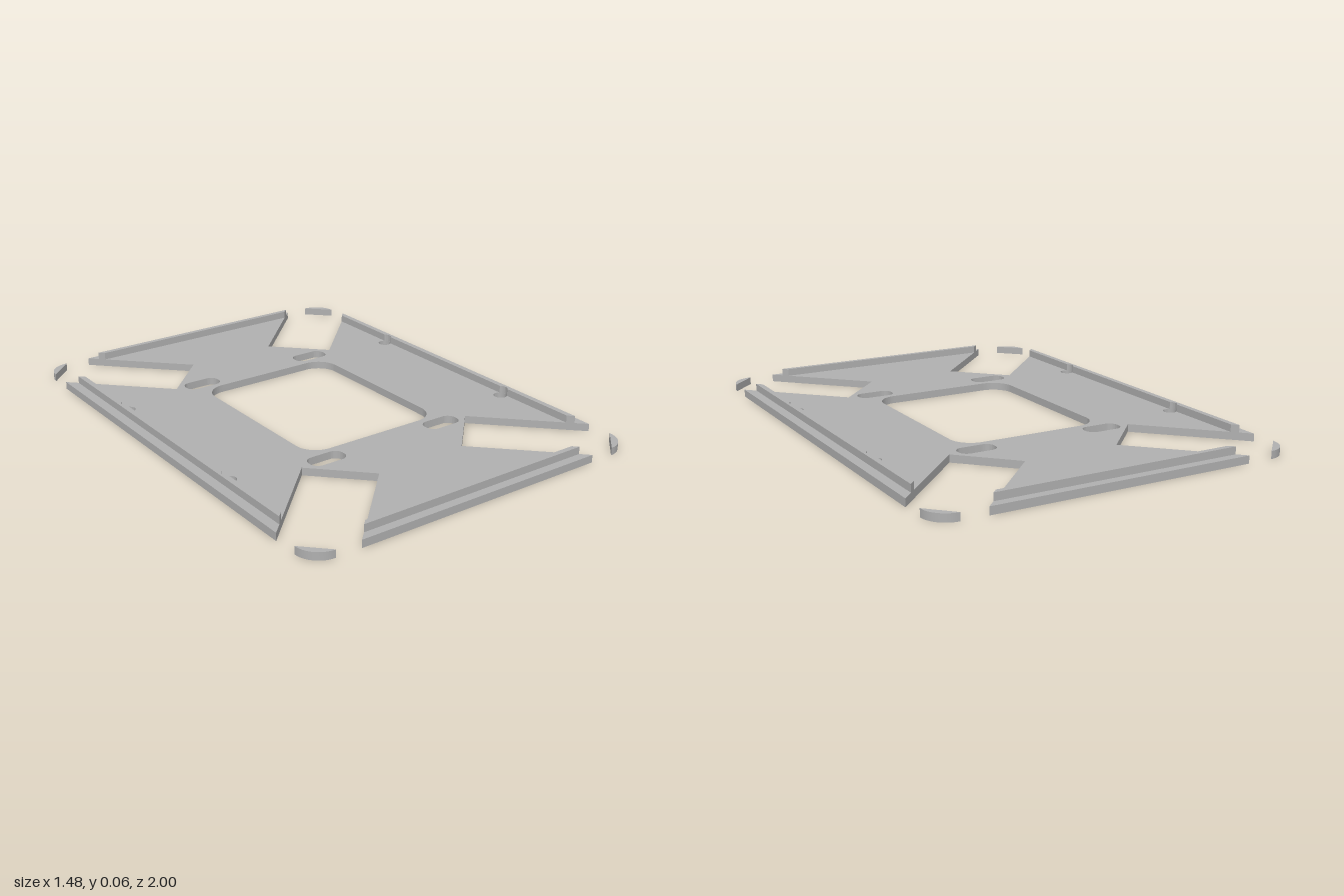
import * as THREE from 'three';
import { toCreasedNormals } from 'three/addons/utils/BufferGeometryUtils.js';

const W = 0.74, L = 1.0;            // half width and half length
const PLATE = 0.031, RAIL = 0.061;  // heights of the plate top and rail top
const HOLE = { x: 0.66, z: 0.383, r: 0.028 };
const QUADS = [[1, 1], [-1, 1], [-1, -1], [1, -1]];

// Extrude a plan shape (x, z) upright between two heights
function slab(shape, bottom, top) {
  const geo = new THREE.ExtrudeGeometry(shape, { depth: top - bottom, bevelEnabled: false, curveSegments: 12 });
  geo.rotateX(Math.PI / 2).translate(0, top, 0);
  return toCreasedNormals(geo, 0.6);
}

const polygon = (pts) => new THREE.Shape(pts.map(([x, z]) => new THREE.Vector2(x, z)));

function roundedHole(cx, cz, hx, hz, r) {
  const p = new THREE.Path();
  p.absarc(cx + hx - r, cz + hz - r, r, 0, Math.PI / 2);
  p.absarc(cx - hx + r, cz + hz - r, r, Math.PI / 2, Math.PI);
  p.absarc(cx - hx + r, cz - hz + r, r, Math.PI, Math.PI * 1.5);
  p.absarc(cx + hx - r, cz - hz + r, r, Math.PI * 1.5, Math.PI * 2);
  p.closePath();
  return p;
}

// Plate outline with four diagonal corner notches, window, slots and screw holes
function plateShape() {
  const notch = [[W, 0.8], [0.397, 0.457], [0.198, 0.658], [0.54, L]];
  const outline = QUADS.flatMap(([sx, sz]) => {
    const pts = notch.map(([x, z]) => [x * sx, z * sz]);
    return sx * sz > 0 ? pts : pts.reverse();
  });
  const shape = polygon(outline);
  shape.holes.push(roundedHole(0, 0, 0.308, 0.383, 0.09));
  for (const [sx, sz] of QUADS) {
    shape.holes.push(roundedHole(sx * 0.278, sz * 0.447, 0.078, 0.039, 0.034));
    const screw = new THREE.Path();
    screw.absarc(sx * HOLE.x, sz * HOLE.z, HOLE.r, 0, Math.PI * 2);
    shape.holes.push(screw);
  }
  return shape;
}

// Side rail with mitred ends, relieved where the screw holes cut into it
function sideRailShape() {
  const inner = 0.677, outer = 0.7;
  const a = Math.acos((inner - HOLE.x) / HOLE.r);
  const s = new THREE.Shape();
  s.moveTo(outer, -0.76);
  s.lineTo(outer, 0.76);
  s.lineTo(inner, 0.737);
  s.absarc(HOLE.x, HOLE.z, HOLE.r, a, -a, true);
  s.absarc(HOLE.x, -HOLE.z, HOLE.r, a, -a, true);
  s.lineTo(inner, -0.737);
  s.closePath();
  return s;
}

// Rounded sliver left at a plate corner
function cornerShape(sx, sz) {
  const r = 0.095, pts = [];
  for (let i = 0; i <= 12; i++) {
    const a = (i / 12) * Math.PI / 2;
    pts.push([sx * (W - r + r * Math.cos(a)), sz * (L - r + r * Math.sin(a))]);
  }
  return polygon(pts);
}

export function createModel() {
  const model = new THREE.Group();
  model.name = 'mountingPlate';
  const grey = new THREE.MeshStandardMaterial({ color: 0xb0b0b0 });
  grey.name = 'plate grey';

  const add = (name, geo, turn = 0) => {
    const mesh = new THREE.Mesh(geo, grey);
    mesh.name = name;
    mesh.rotation.y = turn;
    model.add(mesh);
  };

  add('basePlate', slab(plateShape(), 0, PLATE));

  // Raised rails, each pair related by a half turn
  const sideRail = slab(sideRailShape(), PLATE, RAIL);
  add('leftRail', sideRail);
  add('rightRail', sideRail, Math.PI);
  const endRail = slab(polygon([[-0.505, 0.965], [-0.484, 0.944], [0.484, 0.944], [0.505, 0.965]]), PLATE, RAIL);
  add('frontRail', endRail);
  add('backRail', endRail, Math.PI);

  // Separate corner pieces
  for (const [sx, sz] of QUADS) {
    add(`${sz > 0 ? 'front' : 'back'}${sx > 0 ? 'Left' : 'Right'}Corner`, slab(cornerShape(sx, sz), 0, PLATE));
  }
  return model;
}
